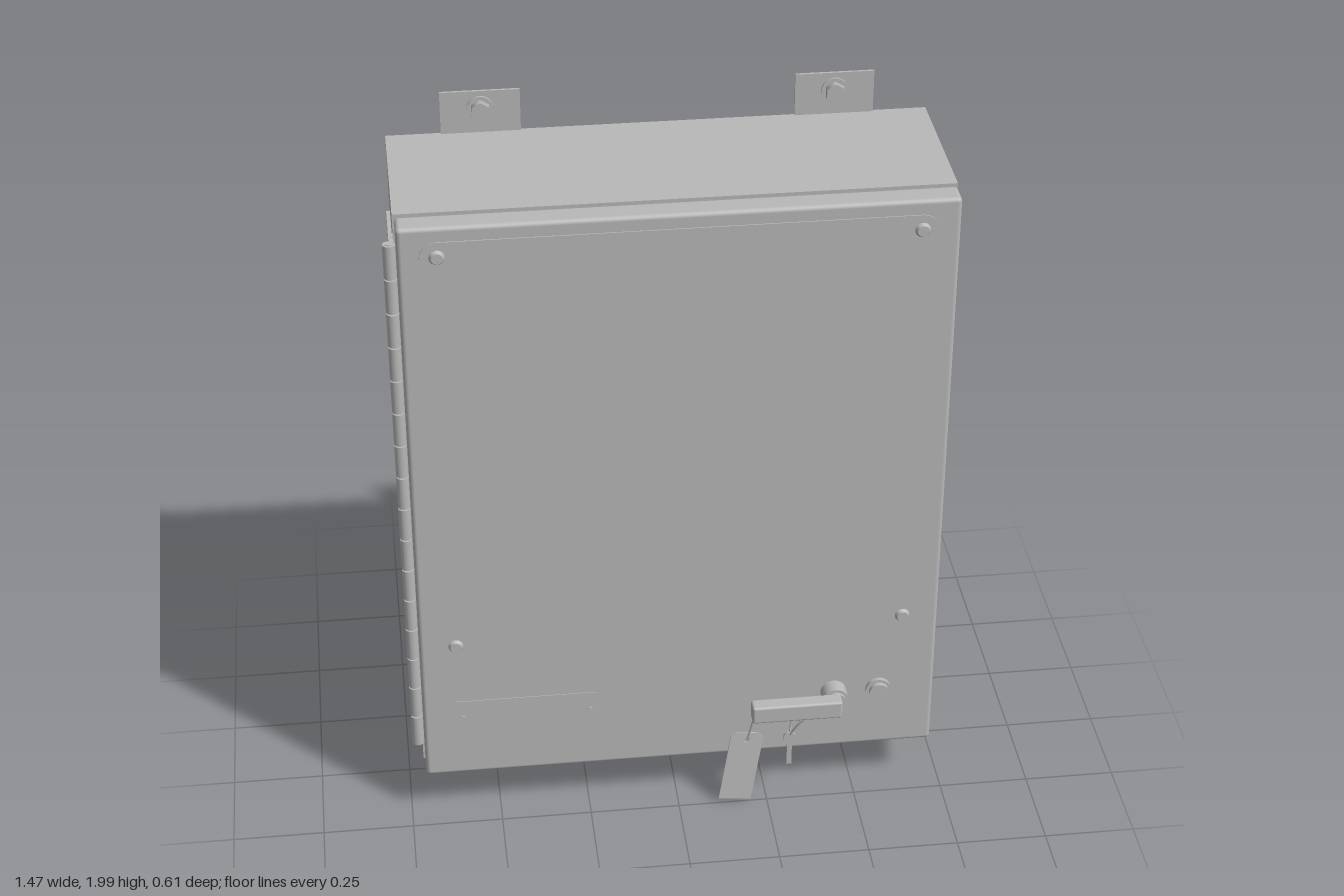
import * as THREE from 'three';
import { RoundedBoxGeometry } from 'three/addons/geometries/RoundedBoxGeometry.js';

export function createModel() {
  const group = new THREE.Group();
  const grey = new THREE.MeshStandardMaterial({ color: 0xb8b8b8 });
  grey.name = 'paintedSteelGrey';
  grey.side = THREE.DoubleSide;

  const add = (name, geometry, x = 0, y = 0, z = 0) => {
    const mesh = new THREE.Mesh(geometry, grey);
    mesh.name = name;
    mesh.position.set(x, y, z);
    group.add(mesh);
    return mesh;
  };
  // Box given by its two extreme corners
  const box = (name, x0, x1, y0, y1, z0, z1, r = 0) => {
    const size = [x1 - x0, y1 - y0, z1 - z0];
    const g = r ? new RoundedBoxGeometry(...size, 3, r) : new THREE.BoxGeometry(...size);
    return add(name, g, (x0 + x1) / 2, (y0 + y1) / 2, (z0 + z1) / 2);
  };
  // Disc or prism whose axis points along z
  const disc = (name, x, y, z0, z1, r, sides = 24, rFront = r) => {
    const g = new THREE.CylinderGeometry(rFront, r, z1 - z0, sides).rotateX(Math.PI / 2);
    return add(name, g, x, y, (z0 + z1) / 2);
  };
  // Thin plate with rounded corners
  const plate = (name, x0, x1, y0, y1, z0, depth, r) => {
    const s = new THREE.Shape();
    s.moveTo(x0 + r, y0);
    s.lineTo(x1 - r, y0);
    s.absarc(x1 - r, y0 + r, r, -Math.PI / 2, 0);
    s.absarc(x1 - r, y1 - r, r, 0, Math.PI / 2);
    s.absarc(x0 + r, y1 - r, r, Math.PI / 2, Math.PI);
    s.absarc(x0 + r, y0 + r, r, Math.PI, Math.PI * 1.5);
    return add(name, new THREE.ExtrudeGeometry(s, { depth, bevelEnabled: false }), 0, 0, z0);
  };
  const wire = (name, points, r) => {
    const curve = new THREE.CatmullRomCurve3(points.map(p => new THREE.Vector3(...p)));
    return add(name, new THREE.TubeGeometry(curve, 16, r, 6), 0, 0, 0);
  };

  // Cabinet, gasket and door
  box('cabinetBody', -0.71, 0.723, 0.15, 1.882, -0.307, 0.128);
  box('doorGasket', -0.69, 0.705, 0.17, 1.862, 0.128, 0.14);
  box('door', -0.705, 0.72, 0.153, 1.882, 0.138, 0.21, 0.012);

  // Wall mounting tabs with washers and hex bolts
  for (const [x0, x1] of [[-0.565, -0.355], [0.37, 0.58]]) {
    for (const [y0, y1, by] of [[1.882, 2, 1.95], [0.032, 0.15, 0.083]]) {
      const x = (x0 + x1) / 2;
      box('mountingTab', x0, x1, y0, y1, -0.307, -0.3);
      disc('tabWasher', x, by, -0.3, -0.294, 0.036);
      disc('tabBolt', x, by, -0.294, -0.275, 0.027, 6);
    }
  }

  // Piano hinge along the left door edge
  const knuckles = 16, y0 = 0.222, pitch = 1.588 / knuckles;
  for (let i = 0; i < knuckles; i++) {
    add('hingeKnuckle', new THREE.CylinderGeometry(0.0165, 0.0165, pitch - 0.004, 16),
      -0.722, y0 + pitch * (i + 0.5), 0.145);
  }
  add('hingePin', new THREE.CylinderGeometry(0.01, 0.01, 1.588, 12), -0.722, y0 + 0.794, 0.145);
  box('hingeLeaf', -0.716, -0.709, y0, 1.81, 0.09, 0.14);

  // Ventilation louvres on both sides
  for (const y of [1.69, 1.593, 1.495]) {
    box('rightLouvre', 0.72, 0.735, y - 0.021, y + 0.021, -0.213, 0.038);
    box('leftLouvre', -0.72, -0.707, y - 0.021, y + 0.021, -0.213, 0.038);
  }

  // Raised door panel with four domed screws
  plate('doorPanel', -0.65, 0.665, 0.555, 1.842, 0.209, 0.004, 0.045);
  for (const x of [-0.606, 0.621]) for (const y of [0.597, 1.8]) {
    disc('panelScrew', x, y, 0.212, 0.222, 0.021, 20, 0.015);
  }

  // Small data plate with rivets
  plate('dataPlate', -0.62, -0.225, 0.293, 0.405, 0.209, 0.003, 0.006);
  for (const x of [-0.597, -0.245]) disc('plateRivet', x, 0.348, 0.211, 0.215, 0.008, 12);

  // Door handle
  disc('handleRosette', 0.437, 0.348, 0.209, 0.255, 0.036, 32);
  disc('handleShaft', 0.437, 0.348, 0.25, 0.265, 0.028);
  box('handleGrip', 0.198, 0.449, 0.322, 0.376, 0.258, 0.302, 0.007);

  // Round lock beside the handle
  disc('lockCollar', 0.563, 0.348, 0.209, 0.222, 0.035, 32);
  disc('lockCap', 0.563, 0.348, 0.222, 0.235, 0.027, 32);

  // Hanging tag with clipped top corners and a string hole
  const tag = new THREE.Shape([
    [-0.047, -0.113], [0.047, -0.113], [0.047, 0.098], [0.032, 0.113], [-0.032, 0.113], [-0.047, 0.098],
  ].map(p => new THREE.Vector2(...p)));
  const hole = new THREE.Path();
  hole.absarc(0, 0.09, 0.008, 0, Math.PI * 2, true);
  tag.holes.push(hole);
  const tagMesh = add('hangingTag',
    new THREE.ExtrudeGeometry(tag, { depth: 0.003, bevelEnabled: false }), 0.177, 0.128, 0.237);
  tagMesh.rotation.set(-0.05, 0.08, -0.163);
  wire('tagString', [[0.193, 0.218, 0.239], [0.202, 0.27, 0.248], [0.212, 0.33, 0.262]], 0.003);

  // Key hanging on a loop of wire below the handle
  wire('keyLoopFront', [[0.313, 0.225, 0.238], [0.335, 0.275, 0.255], [0.375, 0.325, 0.268]], 0.003);
  wire('keyLoopBack', [[0.313, 0.225, 0.238], [0.322, 0.275, 0.23], [0.37, 0.33, 0.258]], 0.003);
  const keyHead = disc('keyHead', 0.313, 0.218, 0.233, 0.241, 0.018, 8);
  keyHead.rotation.z = Math.PI / 8;
  box('keyBlade', 0.306, 0.32, 0.122, 0.205, 0.235, 0.239);

  return group;
}
